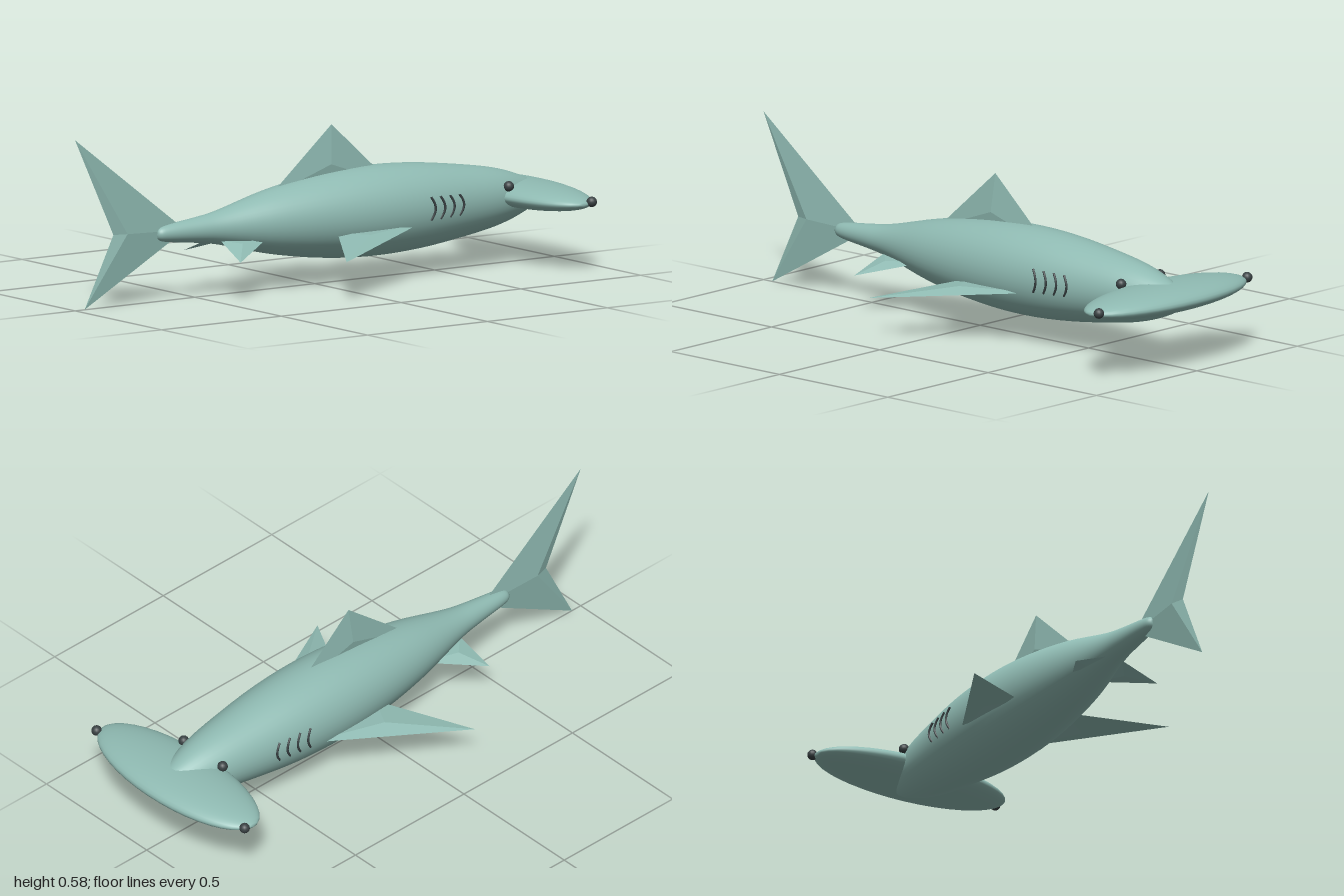
import * as THREE from 'three';

const V = (x, y, z) => new THREE.Vector3(x, y, z);
const AXIS_Y = 0.235;

// Body radius along its length: [x, radius]
const PROFILE = [
  [-0.662, 0], [-0.655, 0.018], [-0.62, 0.029], [-0.5, 0.043], [-0.4, 0.059], [-0.2, 0.108],
  [0, 0.14], [0.2, 0.154], [0.4, 0.148], [0.6, 0.124], [0.74, 0.1], [0.84, 0.07], [0.91, 0.037], [0.945, 0],
];

// Thin fin: flat outline with a raised ridge point on both sides
function finGeometry(outline, centre, thickness) {
  const normal = V(0, 0, 0);
  outline.forEach((a, i) => normal.add(a.clone().cross(outline[(i + 1) % outline.length])));
  normal.normalize();
  const upper = centre.clone().addScaledVector(normal, thickness);
  const lower = centre.clone().addScaledVector(normal, -thickness);
  const tris = [];
  outline.forEach((a, i) => {
    const b = outline[(i + 1) % outline.length];
    tris.push(a, b, upper, b, a, lower);
  });
  const geometry = new THREE.BufferGeometry().setFromPoints(tris);
  geometry.computeVertexNormals();
  return geometry;
}

export function createModel() {
  const model = new THREE.Group();
  const skin = new THREE.MeshStandardMaterial({ color: 0x8fbab2 });
  skin.name = 'sea green skin';
  const dark = new THREE.MeshStandardMaterial({ color: 0x3a4244 });
  dark.name = 'dark slate';

  const add = (name, geometry, material = skin) => {
    const mesh = new THREE.Mesh(geometry, material);
    mesh.name = name;
    model.add(mesh);
    return mesh;
  };

  // Spindle-shaped body, lathed and laid along x
  const curve = new THREE.SplineCurve(PROFILE.map(([x, r]) => new THREE.Vector2(r, x)));
  const points = curve.getPoints(52).map((p) => new THREE.Vector2(Math.max(p.x, 0), p.y));
  add('body', new THREE.LatheGeometry(points, 40).rotateZ(-Math.PI / 2).translate(0, AXIS_Y, 0));

  // Wide flattened head
  add('hammerHead', new THREE.SphereGeometry(1, 32, 20).rotateX(Math.PI / 2)
    .scale(0.143, 0.047, 0.375).translate(0.854, 0.242, 0));

  // Upright fins
  add('dorsalFin', finGeometry(
    [V(-0.19, 0.32, 0), V(0.32, 0.32, 0), V(0.07, 0.545, 0)], V(0.06, 0.41, 0), 0.013));
  add('tailFin', finGeometry(
    [V(-0.54, 0.24, 0), V(-1, 0.59, 0), V(-0.84, 0.25, 0), V(-0.96, 0.005, 0)],
    V(-0.79, 0.25, 0), 0.013));

  for (const s of [1, -1]) {
    const side = s > 0 ? 'left' : 'right';

    // Paired side fins
    add(side + 'PectoralFin', finGeometry(
      [V(0.37, 0.195, 0.11 * s), V(0.03, 0.188, 0.09 * s), V(-0.15, 0.143, 0.393 * s)],
      V(0.09, 0.176, 0.2 * s), 0.014));
    add(side + 'PelvicFin', finGeometry(
      [V(-0.22, 0.195, 0.045 * s), V(-0.415, 0.195, 0.03 * s), V(-0.428, 0.138, 0.165 * s)],
      V(-0.36, 0.178, 0.08 * s), 0.009));

    // Eyes at the head tips and at the head root
    add(side + 'TipEye', new THREE.SphereGeometry(0.018, 16, 12).translate(0.89, 0.25, 0.369 * s), dark);
    add(side + 'RootEye', new THREE.SphereGeometry(0.018, 16, 12).translate(0.74, 0.282, 0.097 * s), dark);

    // Four bowed gill slits hugging the flank
    for (let i = 0; i < 4; i++) {
      const x = 0.38 + i * 0.043;
      const r = 0.152 - i * 0.005;
      const path = [-0.27, -0.14, 0, 0.14, 0.27].map((a, k) =>
        V(x + [0, 0.011, 0.016, 0.011, 0][k], 0.245 + Math.sin(a) * r, Math.cos(a) * r * s));
      add(side + 'Gill' + (i + 1),
        new THREE.TubeGeometry(new THREE.CatmullRomCurve3(path), 12, 0.004, 6), dark);
    }
  }
  return model;
}
